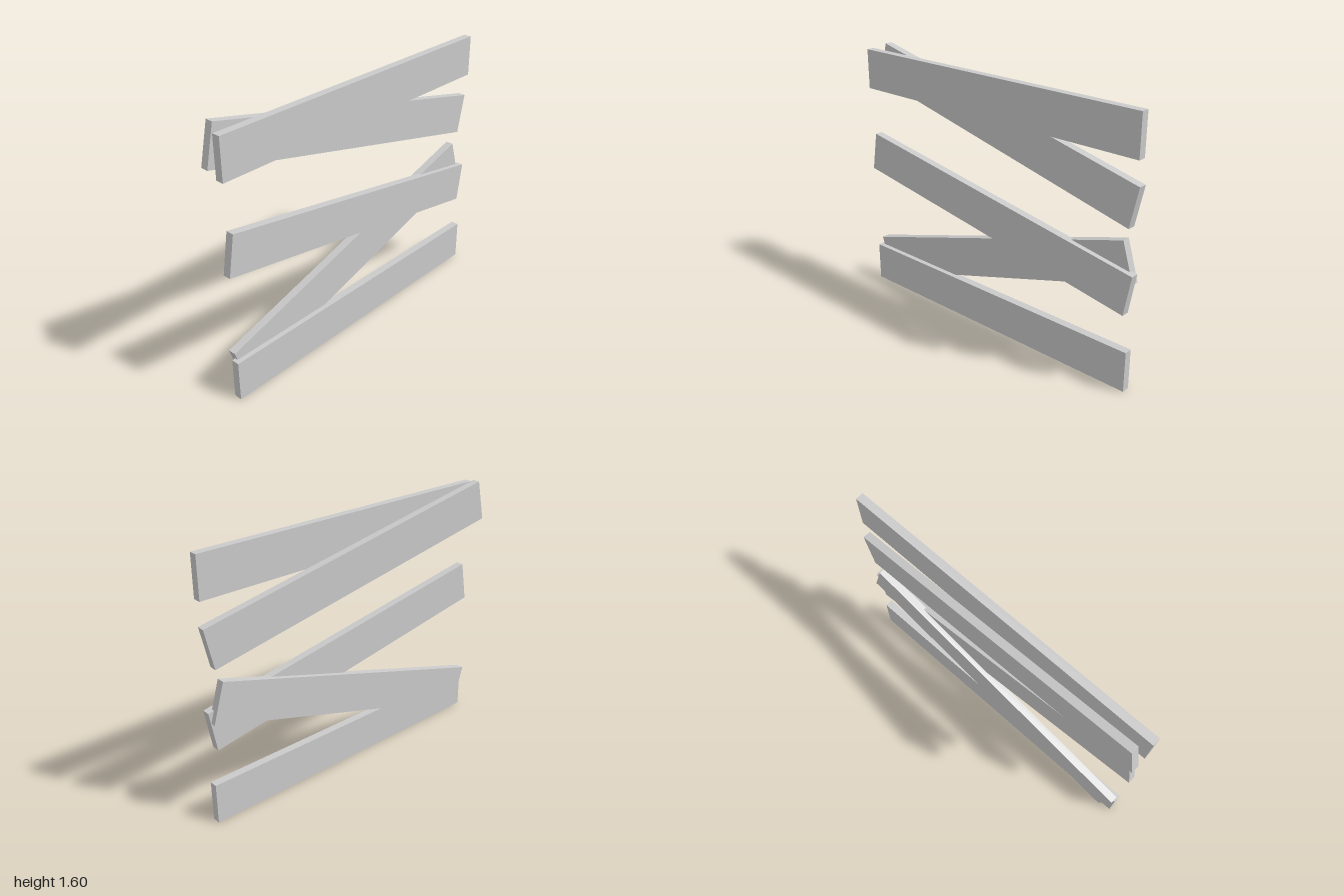
import * as THREE from 'three';

export function createModel() {
  const group = new THREE.Group();
  const grey = new THREE.MeshStandardMaterial({ color: 0xcacaca });
  grey.name = 'plank grey';

  // All planks share one size
  const plank = new THREE.BoxGeometry(1.987, 0.245, 0.048);

  // name, centre, roll about z, yaw about y
  const planks = [
    ['bottomPlank', [-0.002, 0.1225, 0.054], 0, 0],
    ['risingBackPlank', [-0.002, 0.464, 0.024], 0.295, 0],
    ['middleFrontPlank', [-0.002, 0.747, 0.054], -0.17, 0],
    ['leaningBackPlank', [0, 1.273, -0.009], -0.21, -0.045],
    ['topPlank', [-0.002, 1.451, 0.054], 0, 0],
  ];

  for (const [name, centre, roll, yaw] of planks) {
    const mesh = new THREE.Mesh(plank, grey);
    mesh.name = name;
    mesh.position.set(...centre);
    mesh.rotation.set(0, yaw, roll);
    group.add(mesh);
  }
  return group;
}
